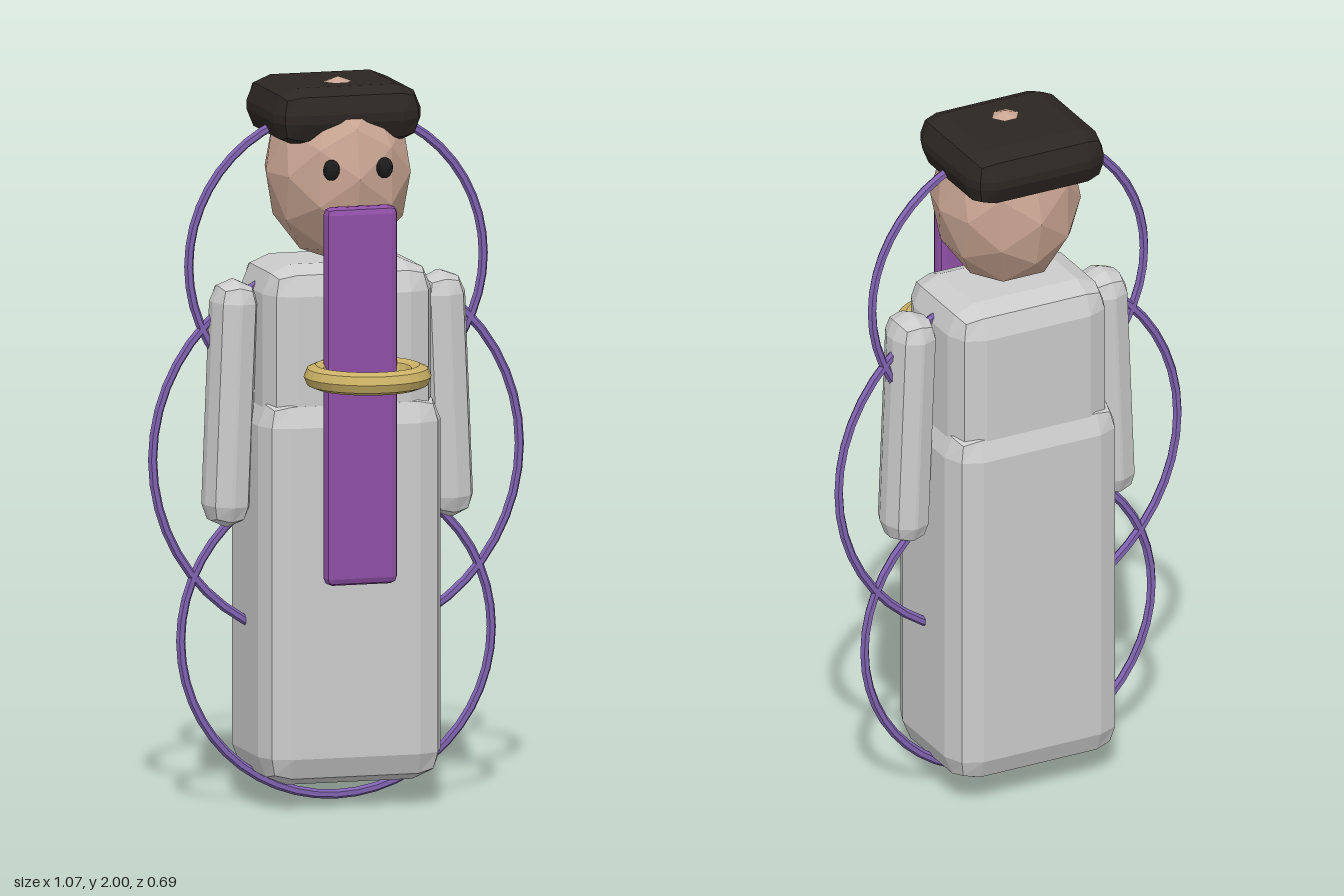
import * as THREE from 'three';
import { RoundedBoxGeometry } from 'three/addons/geometries/RoundedBoxGeometry.js';

const mat = (color) => new THREE.MeshStandardMaterial({ color, flatShading: true });

export function createModel() {
  const model = new THREE.Group();
  model.name = 'robedFigure';

  const grey = mat(0xcccccc);
  const skin = mat(0xc9a592);
  const black = mat(0x2c2622);
  const purple = mat(0x8e4fa5);
  const violet = mat(0x7f62b0);
  const gold = mat(0xcbb266);
  const eyeBlack = mat(0x1c1c1c);

  const add = (name, geometry, material, x, y, z) => {
    const mesh = new THREE.Mesh(geometry, material);
    mesh.name = name;
    mesh.position.set(x, y, z);
    model.add(mesh);
    return mesh;
  };
  // Box with edges rounded in two flat steps
  const block = (w, h, d, r) => new RoundedBoxGeometry(w, h, d, 1, r);

  // Body
  add('skirt', block(0.52, 1.075, 0.405, 0.08), grey, 0, 0.603, -0.127);
  add('torso', block(0.48, 0.6, 0.36, 0.08), grey, 0, 1.2, -0.128);

  // Head and cap; the crown just pokes through the cap
  add('head', new THREE.IcosahedronGeometry(1, 1), skin, 0, 1.745, -0.112)
    .scale.set(0.205, 0.255, 0.213);
  add('cap', block(0.42, 0.16, 0.39, 0.068), black, 0, 1.906, -0.152);

  // Arms and eyes, mirrored
  for (const [side, s] of [['left', 1], ['right', -1]]) {
    const arm = add(side + 'Arm', block(0.128, 0.68, 0.155, 0.06), grey, s * 0.307, 1.11, -0.118);
    arm.rotation.z = s * 0.04;
    add(side + 'Eye', new THREE.SphereGeometry(1, 10, 8), eyeBlack, s * 0.076, 1.772, 0.08)
      .scale.set(0.024, 0.029, 0.02);
  }

  // Hanging sash and the ring around it
  add('sash', block(0.205, 1.045, 0.055, 0.02), purple, 0, 1.15, 0.1);
  add('ring', new THREE.TorusGeometry(0.143, 0.032, 8, 28), gold, 0, 1.214, 0.17)
    .rotation.x = Math.PI / 2;

  // Three thin upright hoops behind the centre line
  const hoops = [['lowerHoop', 0.443, 0.456], ['middleHoop', 0.523, 0.96], ['upperHoop', 0.42, 1.49]];
  for (const [name, radius, y] of hoops) {
    add(name, new THREE.TorusGeometry(radius, 0.013, 6, 48), violet, 0, y, -0.128);
  }

  return model;
}
